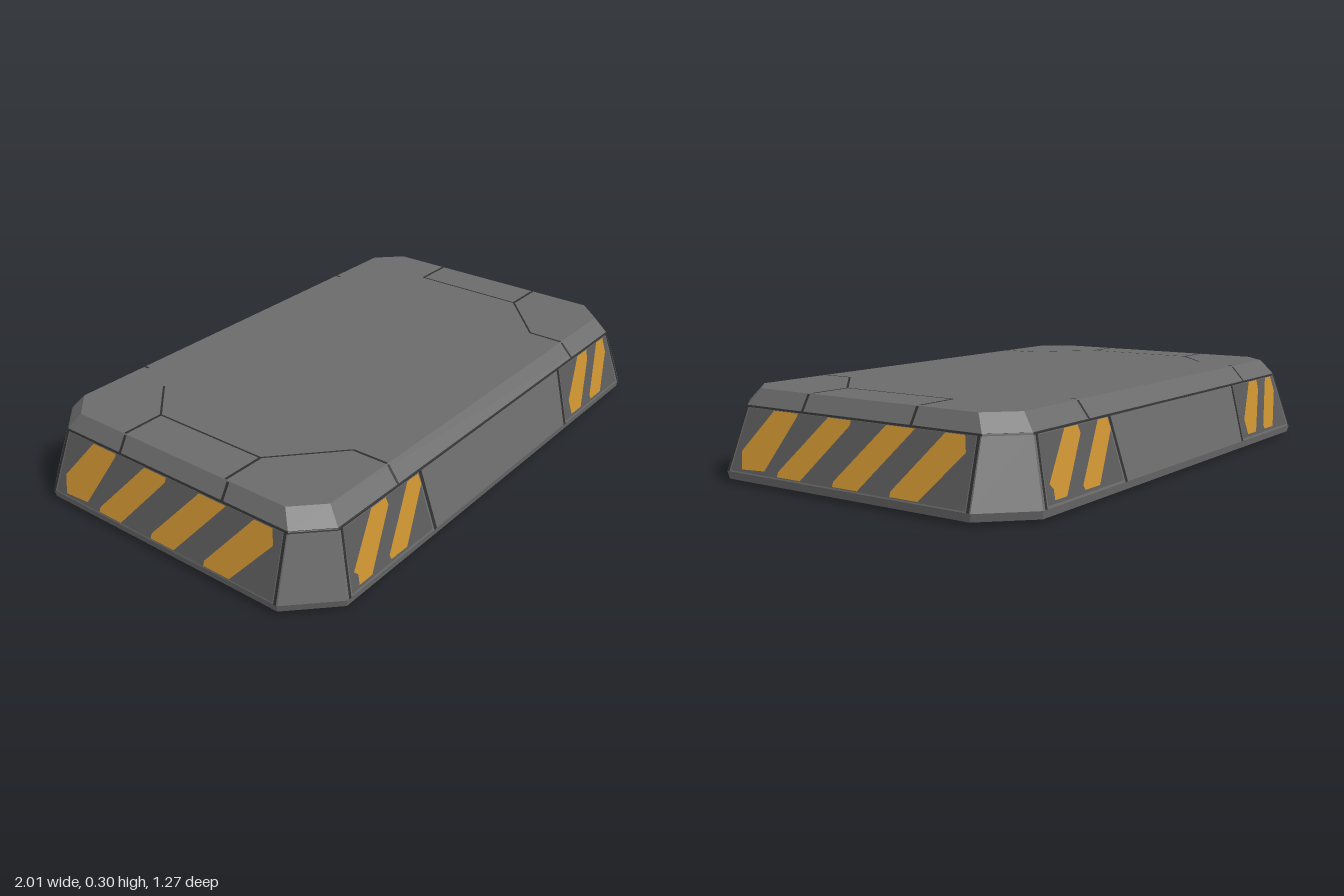
import * as THREE from 'three';
import { ConvexGeometry } from 'three/addons/geometries/ConvexGeometry.js';

const mat = (name, color, side = THREE.DoubleSide) => {
  const m = new THREE.MeshStandardMaterial({ color, side });
  m.name = name;
  return m;
};

// Profile levels: y, half width, half depth, corner cut
const LEVELS = [
  [0, 0.96, 0.585, 0.13],
  [0.012, 0.995, 0.625, 0.14],
  [0.037, 1.0, 0.63, 0.14],
  [0.24, 0.925, 0.573, 0.1],
  [0.294, 0.893, 0.527, 0.09],
];
const TOP = 0.294;

// Half width (column 1) or half depth (column 2) at height y
function extent(y, column) {
  for (let i = 1; i < LEVELS.length; i++) {
    const a = LEVELS[i - 1], b = LEVELS[i];
    if (y <= b[0]) return THREE.MathUtils.mapLinear(y, a[0], b[0], a[column], b[column]);
  }
  return LEVELS[LEVELS.length - 1][column];
}

// Solid through cut-corner rectangles
function slab(levels) {
  const points = [];
  for (const [y, x, z, c] of levels)
    for (const sx of [-1, 1])
      for (const sz of [-1, 1])
        points.push(new THREE.Vector3(sx * (x - c), y, sz * z), new THREE.Vector3(sx * x, y, sz * (z - c)));
  return new ConvexGeometry(points);
}

// Surface mappings: flat outline to a face of the block, lifted slightly
const onFront = (u, y, lift) => [u, y, extent(y, 2) + lift];
const onSide = (u, y, lift) => [extent(y, 1) + lift, y, -u];
const onTop = (x, z, lift) => [x, TOP + lift, z];

function plate(points, place, lift) {
  const geo = new THREE.ShapeGeometry(new THREE.Shape(points.map((p) => new THREE.Vector2(...p))));
  const pos = geo.attributes.position;
  for (let i = 0; i < pos.count; i++) pos.setXYZ(i, ...place(pos.getX(i), pos.getY(i), lift));
  geo.computeVertexNormals();
  return geo;
}

// Thin line outline from a to b
function strip([ax, ay], [bx, by], width) {
  const l = Math.hypot(bx - ax, by - ay);
  const nx = (-(by - ay) / l) * width / 2, ny = ((bx - ax) / l) * width / 2;
  return [[ax + nx, ay + ny], [bx + nx, by + ny], [bx - nx, by - ny], [ax - nx, ay - ny]];
}

export function createModel() {
  const group = new THREE.Group();
  const grey = mat('body grey', 0x6b6b6b, THREE.FrontSide);
  const panelGrey = mat('panel grey', 0x5a5a5a);
  const yellow = mat('hazard yellow', 0xc89030);
  const dark = mat('seam dark', 0x303030);

  const add = (parent, name, geo, material) => {
    const mesh = new THREE.Mesh(geo, material);
    mesh.name = name;
    parent.add(mesh);
  };

  add(group, 'body', slab(LEVELS), grey);
  // Seam running round the foot of the bevel
  add(group, 'rimSeam', slab([
    [0.236, 0.928, 0.576, 0.101],
    [0.24, 0.9265, 0.5745, 0.1],
    [0.242, 0.9255, 0.573, 0.1],
  ]), dark);

  const frontPanels = [
    [[-0.835, 0.045], [-0.43, 0.045], [-0.443, 0.234], [-0.81, 0.234]],
    [[0.43, 0.045], [0.835, 0.045], [0.81, 0.234], [0.443, 0.234]],
  ];
  const frontStripes = [
    [[-0.8, 0.055], [-0.74, 0.055], [-0.605, 0.21], [-0.61, 0.235], [-0.68, 0.235], [-0.81, 0.1], [-0.795, 0.085]],
    [[-0.645, 0.055], [-0.565, 0.055], [-0.44, 0.2], [-0.445, 0.235], [-0.5, 0.235], [-0.65, 0.07]],
    [[0.475, 0.055], [0.545, 0.055], [0.645, 0.2], [0.65, 0.235], [0.58, 0.235], [0.47, 0.11]],
    [[0.625, 0.055], [0.7, 0.055], [0.785, 0.18], [0.78, 0.235], [0.73, 0.235], [0.62, 0.07]],
  ];
  const sidePanels = [[[-0.472, 0.042], [0.472, 0.042], [0.458, 0.235], [-0.458, 0.235]]];
  const sideStripes = [
    [[-0.42, 0.05], [-0.32, 0.055], [-0.235, 0.225], [-0.235, 0.235], [-0.34, 0.235], [-0.44, 0.105], [-0.43, 0.075]],
    [[-0.26, 0.045], [-0.16, 0.045], [-0.01, 0.22], [-0.01, 0.235], [-0.105, 0.235], [-0.26, 0.06]],
    [[-0.025, 0.045], [0.075, 0.045], [0.24, 0.235], [0.13, 0.235], [-0.025, 0.06]],
    [[0.2, 0.045], [0.305, 0.045], [0.435, 0.19], [0.42, 0.235], [0.35, 0.235], [0.2, 0.06]],
  ];

  // Painted walls and their seams, repeated on the opposite side
  for (const [turn, front, side] of [[0, 'front', 'left'], [Math.PI, 'back', 'right']]) {
    const half = new THREE.Group();
    half.name = front + 'And' + side + 'Walls';
    half.rotation.y = turn;
    group.add(half);
    for (const p of frontPanels) add(half, front + 'Panel', plate(p, onFront, 0.002), panelGrey);
    for (const p of frontStripes) add(half, front + 'Stripe', plate(p, onFront, 0.004), yellow);
    for (const p of sidePanels) add(half, side + 'Panel', plate(p, onSide, 0.002), panelGrey);
    for (const p of sideStripes) add(half, side + 'Stripe', plate(p, onSide, 0.004), yellow);
    for (const s of [-1, 1]) {
      const seam = (place, a, b, w) => add(half, 'wallSeam', plate(strip(a, b, w), place, 0.003), dark);
      seam(onFront, [s * 0.417, 0.038], [s * 0.432, 0.238], 0.014);
      seam(onFront, [s * 0.848, 0.038], [s * 0.815, 0.238], 0.01);
      seam(onFront, [s * 0.54, 0.242], [s * 0.535, 0.293], 0.01);
      seam(onSide, [s * 0.482, 0.038], [s * 0.466, 0.238], 0.01);
      seam(onSide, [s * 0.22, 0.242], [s * 0.22, 0.293], 0.01);
    }
  }

  // Engraved lines on the deck
  for (const s of [-1, 1]) {
    const lines = [
      [[0.893, -0.225], [0.742, -0.225], 0.01],
      [[0.893, 0.207], [0.742, 0.207], 0.01],
      [[0.742, -0.225], [0.742, 0.207], 0.007],
      [[0.742, 0.207], [0.535, 0.4], 0.007],
      [[0.535, 0.4], [0.535, 0.527], 0.009],
      [[0.535, -0.527], [0.535, -0.505], 0.009],
    ];
    if (s < 0) lines.push([[0.742, -0.225], [0.597, -0.363], 0.007]);
    for (const [a, b, w] of lines)
      add(group, 'deckSeam', plate(strip([s * a[0], a[1]], [s * b[0], b[1]], w), onTop, 0.002), dark);
  }
  return group;
}
